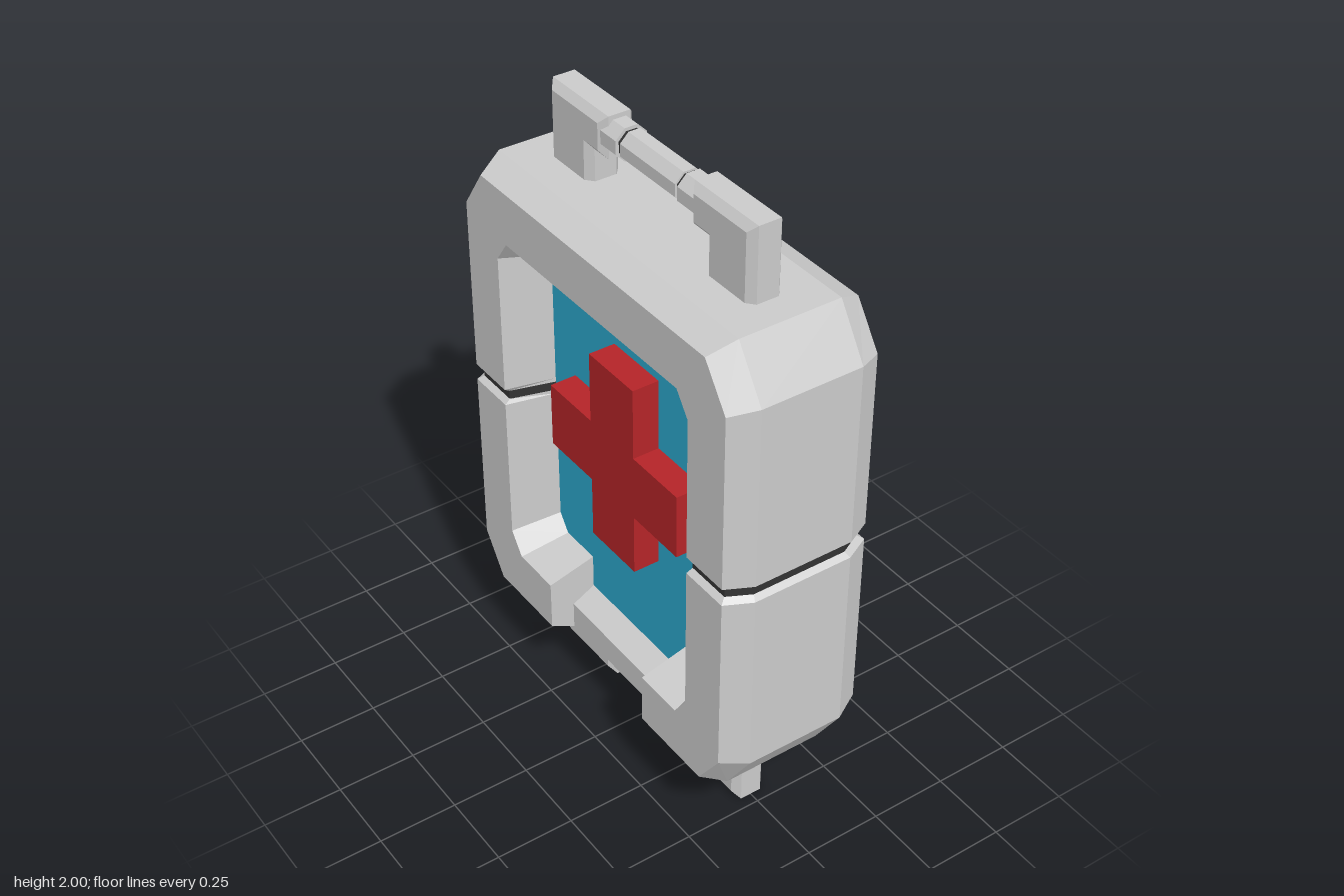
import * as THREE from 'three';

const paint = (color, side = THREE.FrontSide) => new THREE.MeshStandardMaterial({ color, side, flatShading: true });
const grey = paint(0xcccccc);
const greyThin = paint(0xcccccc, THREE.DoubleSide);
const dark = paint(0x333333);
const blue = paint(0x2ca8cc);
const red = paint(0xb52428);

const NOTCH = 0.245; // half width of the opening in the lower rim
const SEAM = 1.0125; // height of the groove around the middle

function mesh(name, geometry, material, parent) {
  const m = new THREE.Mesh(geometry, material);
  m.name = name;
  parent.add(m);
  return m;
}

const shapeOf = pts => new THREE.Shape(pts.map(p => new THREE.Vector2(p[0], p[1])));

// Extrude a shape and centre it along its depth
function slab(pts, depth, bevel = {}) {
  const g = new THREE.ExtrudeGeometry(shapeOf(pts), { depth, bevelEnabled: false, ...bevel });
  return g.translate(0, 0, -depth / 2);
}

// Rim cross-section from the recess, over the face, to the outer ridge:
// x, half width, half height, corner cut in z and y, and x and half width at the groove lip
const rim = [
  { x: 0.085, w: 0.425, h: 0.525, cz: 0.04, cy: 0.055, lx: 0.085, lw: 0.425 },
  { x: 0.24, w: 0.46, h: 0.565, cz: 0.05, cy: 0.07, lx: 0.222, lw: 0.464 },
  { x: 0.24, w: 0.62, h: 0.73, cz: 0.09, cy: 0.13, lx: 0.222, lw: 0.607 },
  { x: 0.16, w: 0.66, h: 0.77, cz: 0.1, cy: 0.155, lx: 0.152, lw: 0.643 },
];
const sections = [...rim, ...rim.map(r => ({ ...r, x: -r.x, lx: -r.lx })).reverse()];

// One half of the rim; s = 1 is the upper half, s = -1 the lower half with its opening
function rimHalf(s) {
  const rows = sections.map(r => {
    const side = [
      [r.lx, SEAM + s * 0.0145, r.lw],
      [r.x, SEAM + s * 0.0275, r.w],
      [r.x, 1 + s * (r.h - r.cy), r.w],
      [r.x, 1 + s * r.h, r.w - r.cz],
      [r.x, 1 + s * r.h, NOTCH],
    ];
    return [...side, ...side.map(p => [p[0], p[1], -p[2]]).reverse()];
  });
  const pos = [];
  for (let i = 0; i < rows.length - 1; i++) {
    for (let j = 0; j < 9; j++) {
      if (s < 0 && j === 4) continue;
      const a = rows[i][j], b = rows[i][j + 1], c = rows[i + 1][j + 1], d = rows[i + 1][j];
      const tris = s > 0 ? [a, b, d, b, c, d] : [a, d, b, b, d, c];
      tris.forEach(p => pos.push(...p));
    }
  }
  const g = new THREE.BufferGeometry();
  g.setAttribute('position', new THREE.Float32BufferAttribute(pos, 3));
  g.computeVertexNormals();
  return g;
}

function makeHandle() {
  const handle = new THREE.Group();
  // L-shaped brackets with bevelled edges
  const b = 0.024;
  const profile = [[0.465 - b, 1.7], [0.465 - b, 2 - b], [0.195 + b, 2 - b], [0.195 + b, 1.87 + b],
    [0.265 + b, 1.87 + b], [0.265 + b, 1.7]];
  const bevel = { bevelEnabled: true, bevelSize: b, bevelThickness: 0.02, bevelSegments: 1 };
  for (const s of [1, -1]) {
    const g = slab(profile, 0.07, bevel).rotateY(-Math.PI / 2);
    if (s < 0) g.rotateY(Math.PI);
    mesh('handleBracket', g, grey, handle);
  }
  // Eight-sided rod; r is the distance to the flats
  const rod = (name, r, length, z, material) => {
    const g = new THREE.CylinderGeometry(r / Math.cos(Math.PI / 8), r / Math.cos(Math.PI / 8), length, 8);
    g.rotateY(Math.PI / 8).rotateX(Math.PI / 2).translate(0, 1.936, z);
    mesh(name, g, material, handle);
  };
  rod('handleGrip', 0.046, 0.25, 0, grey);
  rod('handleCore', 0.04, 0.4, 0, dark);
  for (const s of [1, -1]) rod('handleCollar', 0.05, 0.085, s * 0.1825, grey);
  return handle;
}

export function createModel() {
  const model = new THREE.Group();
  model.name = 'medicalCase';

  // Bevelled case rim in two halves
  mesh('upperRim', rimHalf(1), grey, model);
  mesh('lowerRim', rimHalf(-1), grey, model);

  // Dark seal in the groove on both ends
  for (const s of [1, -1]) {
    const g = slab(sections.map(r => [r.lx, s * r.lw]), 0.04).rotateX(-Math.PI / 2).translate(0, SEAM, 0);
    mesh('seal', g, dark, model);
  }

  // Sill and cheeks of the opening in the lower rim
  const sill = [[-0.16, 0.23], [0.16, 0.23], [0.16, 0.32], [0.085, 0.36], [-0.085, 0.36], [-0.16, 0.32]];
  mesh('sill', slab(sill, 2 * NOTCH), grey, model);
  const cheek = [[0.16, 0.23], [0.24, 0.27], [0.24, 0.435], [0.085, 0.475], [0.085, 0.36], [0.16, 0.32]];
  for (const sx of [1, -1]) {
    for (const sz of [1, -1]) {
      const g = new THREE.ShapeGeometry(shapeOf(cheek.map(p => [sx * p[0], p[1]])));
      mesh('sillCheek', g.translate(0, 0, sz * NOTCH), greyThin, model);
    }
  }

  // Coloured panel showing on both sides
  const panel = mesh('panel', new THREE.BoxGeometry(0.17, 1.19, 0.86), blue, model);
  panel.position.y = 0.94;

  // Raised cross on both sides
  const cross = [[-0.107, 0.705], [0.107, 0.705], [0.107, 0.905], [0.315, 0.905], [0.315, 1.115], [0.107, 1.115],
    [0.107, 1.345], [-0.107, 1.345], [-0.107, 1.115], [-0.315, 1.115], [-0.315, 0.905], [-0.107, 0.905]];
  mesh('cross', slab(cross, 0.34).rotateY(Math.PI / 2), red, model);

  // Handles above and below
  const top = makeHandle();
  top.name = 'topHandle';
  const bottom = makeHandle();
  bottom.name = 'bottomHandle';
  bottom.rotation.x = Math.PI;
  bottom.position.y = 2;
  model.add(top, bottom);

  return model;
}
